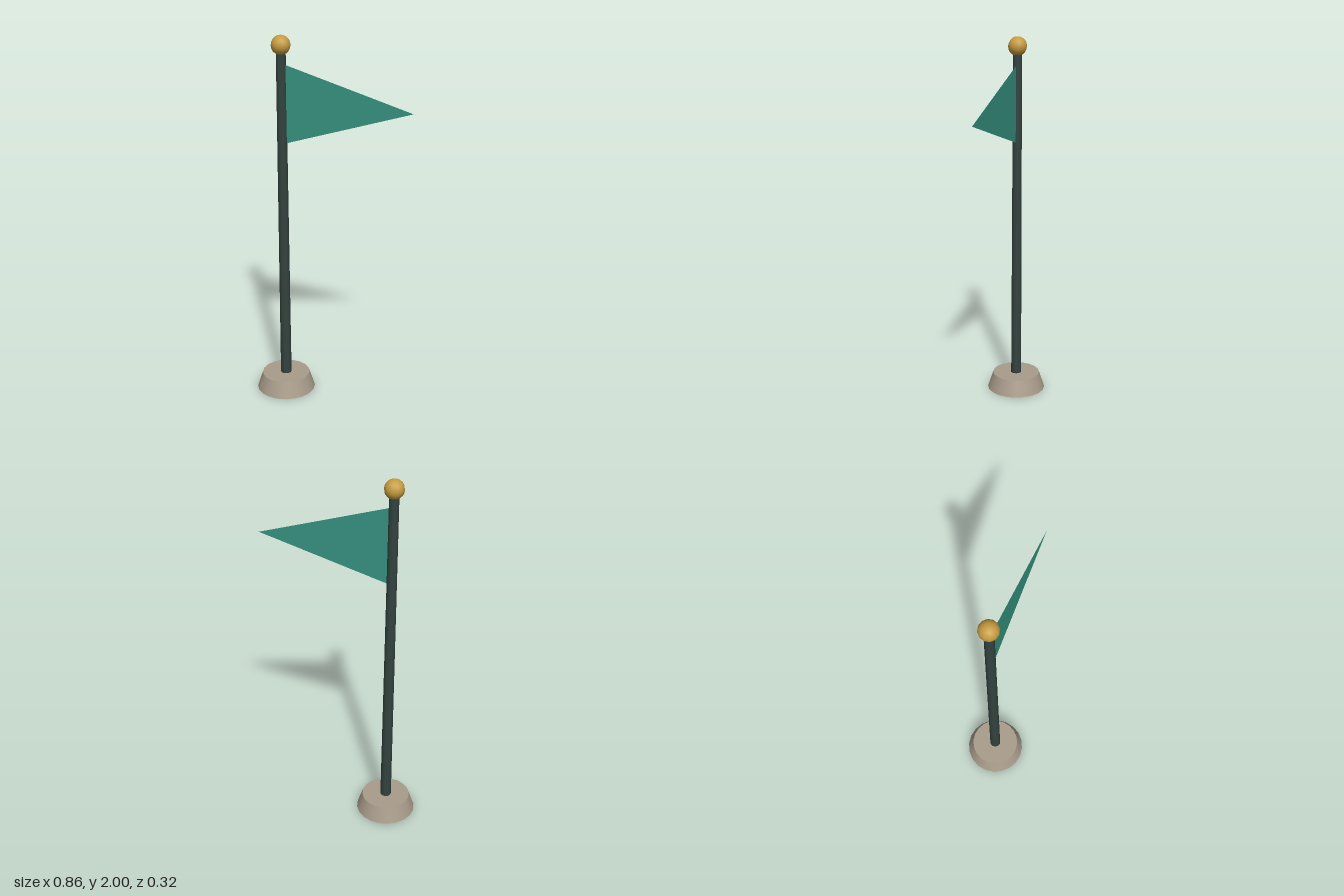
import * as THREE from 'three';

export function createModel() {
  const model = new THREE.Group();
  const material = (name, color) => {
    const m = new THREE.MeshStandardMaterial({ color });
    m.name = name;
    return m;
  };
  const stone = material('stone', 0xa89b8a);
  const darkMetal = material('dark metal', 0x33433f);
  const gold = material('gold', 0xc59b3f);
  const green = material('green cloth', 0x35917f);
  green.side = THREE.DoubleSide;

  const poleX = -0.267;
  const add = (name, geometry, mat, x, y) => {
    const mesh = new THREE.Mesh(geometry, mat);
    mesh.name = name;
    mesh.position.set(x, y, 0);
    model.add(mesh);
  };

  // Tapered foot, slightly tapered pole and ball on top
  add('base', new THREE.CylinderGeometry(0.132, 0.162, 0.09, 20), stone, poleX, 0.045);
  add('pole', new THREE.CylinderGeometry(0.025, 0.03, 1.86, 10), darkMetal, poleX, 0.99);
  add('finial', new THREE.SphereGeometry(0.051, 12, 10), gold, poleX, 1.949);

  // Triangular pennant, a single sheet of cloth
  const pennant = new THREE.Shape([
    new THREE.Vector2(0, -0.206),
    new THREE.Vector2(0.67, 0),
    new THREE.Vector2(0, 0.206),
  ]);
  add('pennant', new THREE.ShapeGeometry(pennant), green, -0.243, 1.642);

  return model;
}
